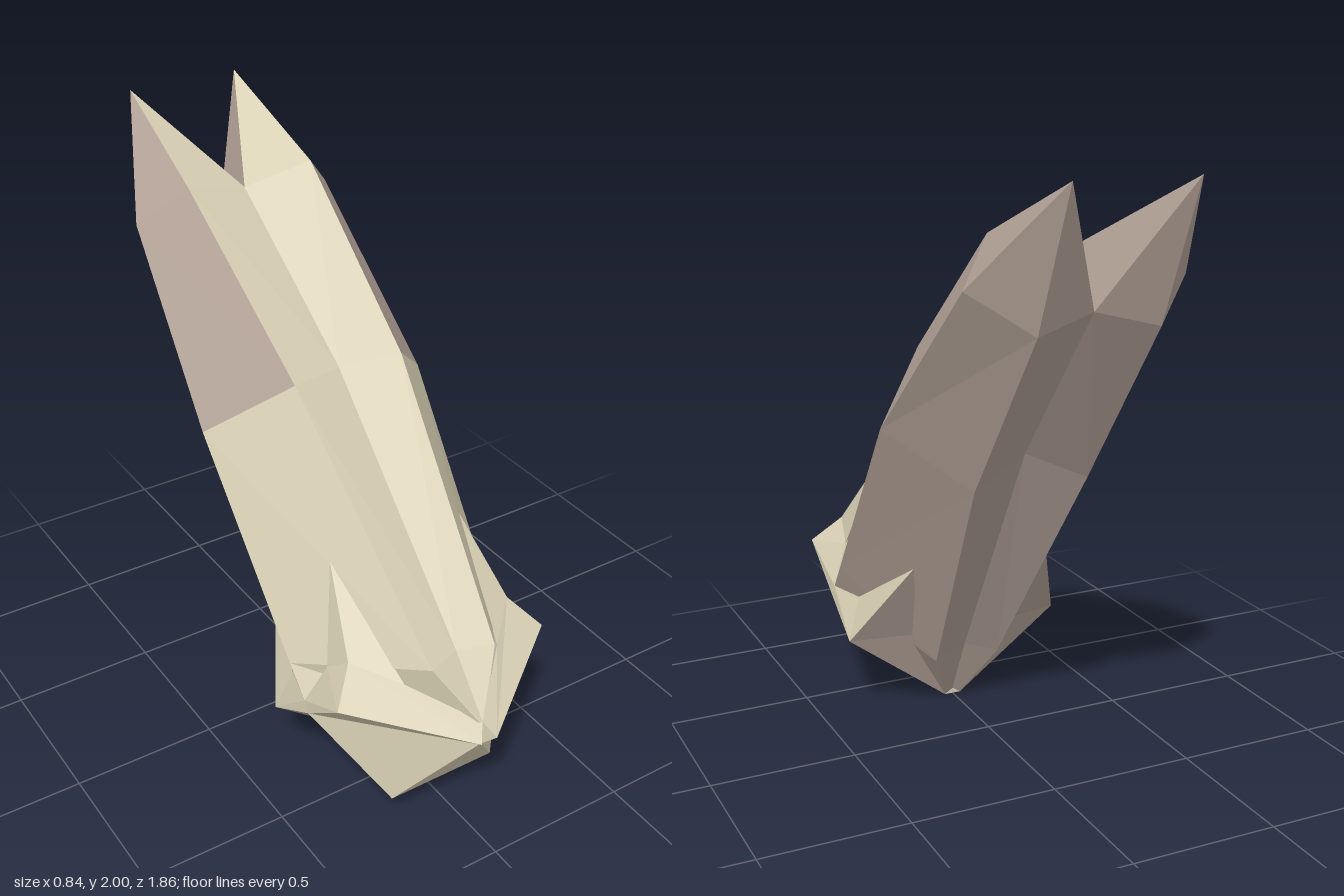
import * as THREE from 'three';

const cream = new THREE.MeshStandardMaterial({ color: 0xd8d0b4, side: THREE.DoubleSide });
cream.name = 'cream';
const taupe = new THREE.MeshStandardMaterial({ color: 0xb5a499, side: THREE.DoubleSide });
taupe.name = 'taupe';

// Flat-faced mesh from convex polygons, optionally mirrored across x = 0
function facets(name, material, polygons, mirrored = true) {
  const out = [];
  for (const poly of polygons) {
    for (let i = 1; i < poly.length - 1; i++) {
      const [a, b, c] = [poly[0], poly[i], poly[i + 1]];
      out.push(...a, ...b, ...c);
      if (mirrored) for (const p of [a, c, b]) out.push(-p[0], p[1], p[2]);
    }
  }
  const geometry = new THREE.BufferGeometry();
  geometry.setAttribute('position', new THREE.Float32BufferAttribute(out, 3));
  geometry.computeVertexNormals();
  const mesh = new THREE.Mesh(geometry, material);
  mesh.name = name;
  return mesh;
}

const mirror = ([x, y, z]) => [-x, y, z];

export function createModel() {
  const group = new THREE.Group();
  group.name = 'forkedHorn';

  // Half cross-sections: top groove, top ridge, side ridge, bottom ridge, bottom groove
  const rings = [
    [[0, 0.47, 0.89], [0.01, 0.47, 0.89], [0.39, 0.43, 0.47], [0.03, 0, 0.31], [0, 0.02, 0.31]],
    [[0, 0.65, 0.74], [0.12, 0.65, 0.78], [0.395, 0.53, 0.39], [0.12, 0.2, 0.18], [0, 0.24, 0.2]],
    [[0, 1.34, 0.06], [0.2, 1.36, 0.12], [0.42, 1.155, -0.09], [0.2, 0.98, -0.32], [0, 1.07, -0.27]],
    [[0, 1.75, -0.52], [0.23, 1.81, -0.475], [0.365, 1.67, -0.6], [0.2, 1.55, -0.74], [0, 1.6, -0.7]],
  ];
  const tip = [0.2, 2, -0.93];

  // Shaft: upper side is cream, underside and outer flanks are taupe
  const upper = [], under = [];
  for (let r = 0; r < 3; r++) {
    for (let i = 0; i < 4; i++) {
      const quad = [rings[r][i], rings[r][i + 1], rings[r + 1][i + 1], rings[r + 1][i]];
      const isCream = i === 0 || (i === 1 && r < 2);
      (isCream ? upper : under).push(quad);
    }
  }
  group.add(facets('shaftTop', cream, upper));
  group.add(facets('shaftUnderside', taupe, under));

  // Two pointed tips with a notch between them
  const [tc, tr, side, br, bc] = rings[3];
  group.add(facets('tipTop', cream, [[tc, tr, tip]]));
  group.add(facets('tipSides', taupe, [[tr, side, tip], [side, br, tip], [br, bc, tip], [bc, tc, tip]]));

  // Collar corner points
  const T = [0, 0.47, 0.89], A = [0.03, 0.42, 0.93], M = [0, 0.38, 0.89];
  const E = [0.4, 0.54, 0.68], N = [0.395, 0.4, 0.5], H = [0.39, 0.43, 0.47];
  const B = [0.2, 0.09, 0.7], C = [0.03, 0, 0.31], D = [0.4, 0.28, 0.3];
  const F = [0.25, 0.88, 0.4], R = [0.31, 0.64, 0.6], L = [0.18, 0.58, 0.72], J = [0.33, 0.57, 0.51];
  const G = [0.25, 0.61, 0.06], I = [0.35, 0.43, 0.33], K = [0.18, 0.3, 0.22];

  // Upper spiked petals
  group.add(facets('upperPetals', cream, [
    [A, E, R], [A, R, L], [R, F, L], [A, L, T],
    [E, H, J], [E, J, R], [R, J, F], [J, L, F],
  ]));

  // Rear spiked petals
  group.add(facets('rearPetalTops', cream, [[H, D, I], [D, G, I]]));
  group.add(facets('rearPetalUndersides', taupe, [[D, C, K], [D, K, G], [I, G, K]]));

  // Faceted base cap
  group.add(facets('capFront', cream, [[A, M, N], [A, N, E], [M, B, N], [E, N, H], [N, D, H]]));
  group.add(facets('capSides', taupe, [[N, B, C], [N, C, D]]));
  group.add(facets('capCenter', cream, [[M, mirror(B), B], [T, mirror(A), M, A]], false));
  group.add(facets('capBottom', taupe, [[mirror(B), mirror(C), C, B]], false));

  return group;
}
